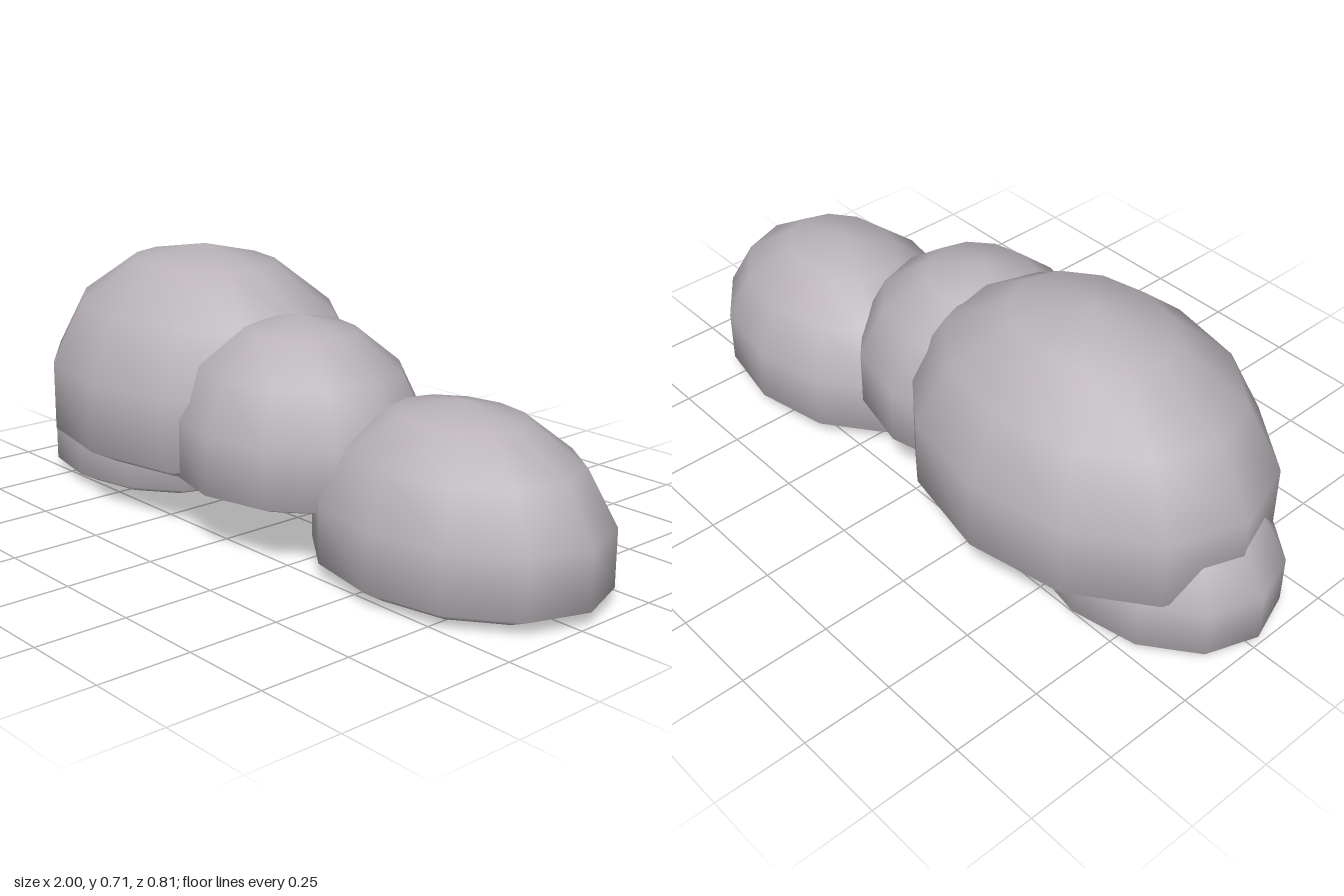
import * as THREE from 'three';
import { mergeVertices } from 'three/addons/utils/BufferGeometryUtils.js';

// Low-poly ellipsoid puff, cut flat underneath at height "floor".
// Sizes are the widest visible radii; the ring nearest the equator sits at sin(77 deg).
function makePuff(name, material, { x, z, top, floor, rx, ry, rz }) {
  const rings = 7;
  const widest = Math.sin((3 * Math.PI) / rings);
  let geometry = new THREE.SphereGeometry(1, 12, rings);
  geometry.scale(rx / widest, ry, rz / widest);
  geometry.translate(x, top - ry, z);

  // Flatten the underside
  const position = geometry.attributes.position;
  for (let i = 0; i < position.count; i++) {
    position.setY(i, Math.max(position.getY(i), floor));
  }

  // Weld the seam so the shading stays smooth all round
  geometry.deleteAttribute('uv');
  geometry.deleteAttribute('normal');
  geometry = mergeVertices(geometry, 1e-4);
  geometry.computeVertexNormals();

  const mesh = new THREE.Mesh(geometry, material);
  mesh.name = name;
  return mesh;
}

export function createModel() {
  const model = new THREE.Group();
  model.name = 'cloud';

  const paleGrey = new THREE.MeshStandardMaterial({ color: 0xb9b3b9 });
  paleGrey.name = 'paleGrey';

  const puffs = {
    largePuff: { x: -0.4, z: 0, top: 0.714, floor: 0.135, rx: 0.535, ry: 0.44, rz: 0.403 },
    middlePuff: { x: 0.055, z: 0.041, top: 0.592, floor: 0.135, rx: 0.37, ry: 0.352, rz: 0.321 },
    leftLowPuff: { x: 0.575, z: -0.03, top: 0.457, floor: 0, rx: 0.425, ry: 0.343, rz: 0.318 },
    rightLowPuff: { x: -0.632, z: 0.012, top: 0.4, floor: 0, rx: 0.368, ry: 0.303, rz: 0.281 },
  };
  for (const [name, size] of Object.entries(puffs)) {
    model.add(makePuff(name, paleGrey, size));
  }
  return model;
}
